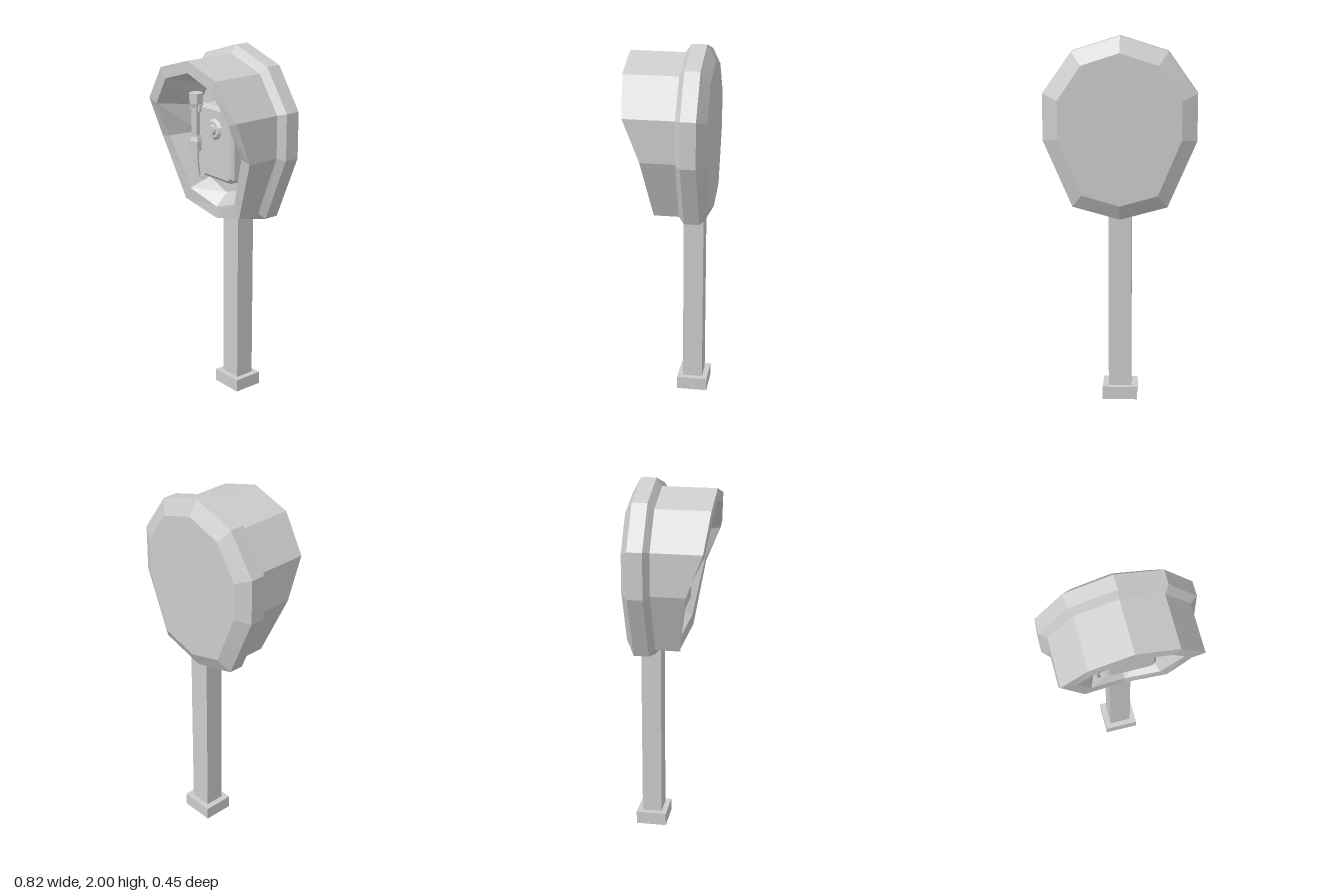
import * as THREE from 'three';

const grey = new THREE.MeshStandardMaterial({ color: 0xcccccc, flatShading: true });
const greyOpen = new THREE.MeshStandardMaterial({ color: 0xcccccc, flatShading: true, side: THREE.DoubleSide });

// Full ten-point ring from the right half, listed top to bottom
function ring(half, z) {
  const pts = half.map(([x, y], i) => [x, y, Array.isArray(z) ? z[i] : z]);
  const left = pts.slice(1, -1).reverse().map(([x, y, d]) => [-x, y, d]);
  return [...pts, ...left];
}

// Skin a series of rings into a faceted surface
function loft(rings) {
  const v = [];
  for (let k = 0; k < rings.length - 1; k++) {
    const a = rings[k], b = rings[k + 1], n = a.length;
    for (let i = 0; i < n; i++) {
      const j = (i + 1) % n;
      v.push(...a[i], ...b[i], ...a[j], ...a[j], ...b[i], ...b[j]);
    }
  }
  const g = new THREE.BufferGeometry();
  g.setAttribute('position', new THREE.Float32BufferAttribute(v, 3));
  g.computeVertexNormals();
  return g;
}

// Rectangular ring at height y
const square = (w, d, y, z) =>
  [[-w, y, z - d], [-w, y, z + d], [w, y, z + d], [w, y, z - d]];

export function createModel() {
  const model = new THREE.Group();
  function add(parent, name, geometry, x = 0, y = 0, z = 0, material = grey) {
    const mesh = new THREE.Mesh(geometry, material);
    mesh.name = name;
    mesh.position.set(x, y, z);
    parent.add(mesh);
    return mesh;
  }

  // Hood: back plate, outer band, projecting shell and recessed interior
  const outer = [[0, 2], [0.255, 1.92], [0.41, 1.7], [0.41, 1.45], [0.255, 1.09], [0, 1.02]];
  const shell = [[0, 1.955], [0.23, 1.885], [0.37, 1.69], [0.37, 1.46], [0.23, 1.12], [0, 1.055]];
  const rim = [[0, 1.89], [0.19, 1.83], [0.305, 1.67], [0.305, 1.475], [0.19, 1.19], [0, 1.12]];
  const inner = [[0, 1.82], [0.15, 1.775], [0.235, 1.64], [0.235, 1.49], [0.145, 1.245], [0, 1.19]];
  const back = outer.map(([x, y]) => [x * 0.8, 1.51 + (y - 1.51) * 0.83]);
  const centre = outer.map(() => [0, 1.51]);
  const frontZ = [0.225, 0.225, 0.203, 0.115, 0.065, 0.03];
  add(model, 'hood', loft([
    ring(centre, -0.228), ring(back, -0.228), ring(outer, -0.182), ring(outer, -0.1),
    ring(shell, -0.07), ring(shell, frontZ), ring(rim, frontZ),
    ring(inner, -0.04), ring(centre, -0.04),
  ]));

  // Hollow post and its open-bottomed foot
  add(model, 'post', loft([square(0.062, 0.055, 0.07, -0.125), square(0.062, 0.055, 1.06, -0.125)]),
    0, 0, 0, greyOpen);
  add(model, 'foot', loft([square(0.095, 0.085, 0, -0.125), square(0.095, 0.085, 0.072, -0.125),
    square(0.062, 0.055, 0.072, -0.125)]), 0, 0, 0, greyOpen);

  // Telephone body with bevelled front
  const phone = new THREE.Group();
  phone.name = 'telephone';
  model.add(phone);
  const face = new THREE.Shape([[-0.09, 1.32], [-0.07, 1.305], [0.13, 1.305], [0.15, 1.32],
    [0.15, 1.66], [0.135, 1.672], [-0.075, 1.672], [-0.09, 1.66]].map((p) => new THREE.Vector2(...p)));
  add(phone, 'body', new THREE.ExtrudeGeometry(face, {
    depth: 0.09, bevelEnabled: true, bevelSegments: 1, bevelSize: 0.018, bevelThickness: 0.018,
  }), 0, 0, -0.045);
  const knob = new THREE.CylinderGeometry(0.028, 0.042, 0.03, 4, 1, false, Math.PI / 4);
  add(phone, 'topKnob', knob, 0.075, 1.702, 0);

  // Dial with a hub
  const disc = (r1, r2, h) => new THREE.CylinderGeometry(r1, r2, h, 10).rotateX(Math.PI / 2);
  add(phone, 'dial', disc(0.045, 0.06, 0.016), 0.025, 1.57, 0.07);
  add(phone, 'dialHub', disc(0.024, 0.03, 0.014), 0.025, 1.57, 0.084);

  // Handset: two end cups joined by a grip
  const handset = new THREE.Group();
  handset.name = 'handset';
  phone.add(handset);
  const hex = (r1, r2, h) => new THREE.CylinderGeometry(r1, r2, h, 6);
  add(handset, 'grip', hex(0.026, 0.026, 0.24), -0.157, 1.56, 0.05);
  for (const [name, y, s] of [['earpiece', 1.705, 1], ['mouthpiece', 1.44, -1]]) {
    add(handset, name, hex(0.04, 0.04, 0.055), -0.158, y, 0.045);
    add(handset, name + 'Neck', hex(s > 0 ? 0.04 : 0.028, s > 0 ? 0.028 : 0.04, 0.035),
      -0.158, y - s * 0.045, 0.045);
  }

  // Cradle arms and side bracket
  for (const x of [-0.19, -0.122]) add(phone, 'cradleArm', new THREE.BoxGeometry(0.014, 0.04, 0.075), x, 1.655, 0.02);
  add(phone, 'cradleBar', new THREE.BoxGeometry(0.09, 0.03, 0.03), -0.15, 1.655, 0);
  add(phone, 'sideBracket', new THREE.BoxGeometry(0.018, 0.14, 0.03), -0.116, 1.51, 0.02);

  // Cord looping from the handset back to the body
  const cord = new THREE.CatmullRomCurve3([[-0.155, 1.42, 0.045], [-0.15, 1.33, 0.045],
    [-0.14, 1.255, 0.035], [-0.125, 1.26, 0.02], [-0.125, 1.34, 0.01], [-0.1, 1.42, 0]]
    .map((p) => new THREE.Vector3(...p)));
  add(phone, 'cord', new THREE.TubeGeometry(cord, 14, 0.01, 5));

  return model;
}
